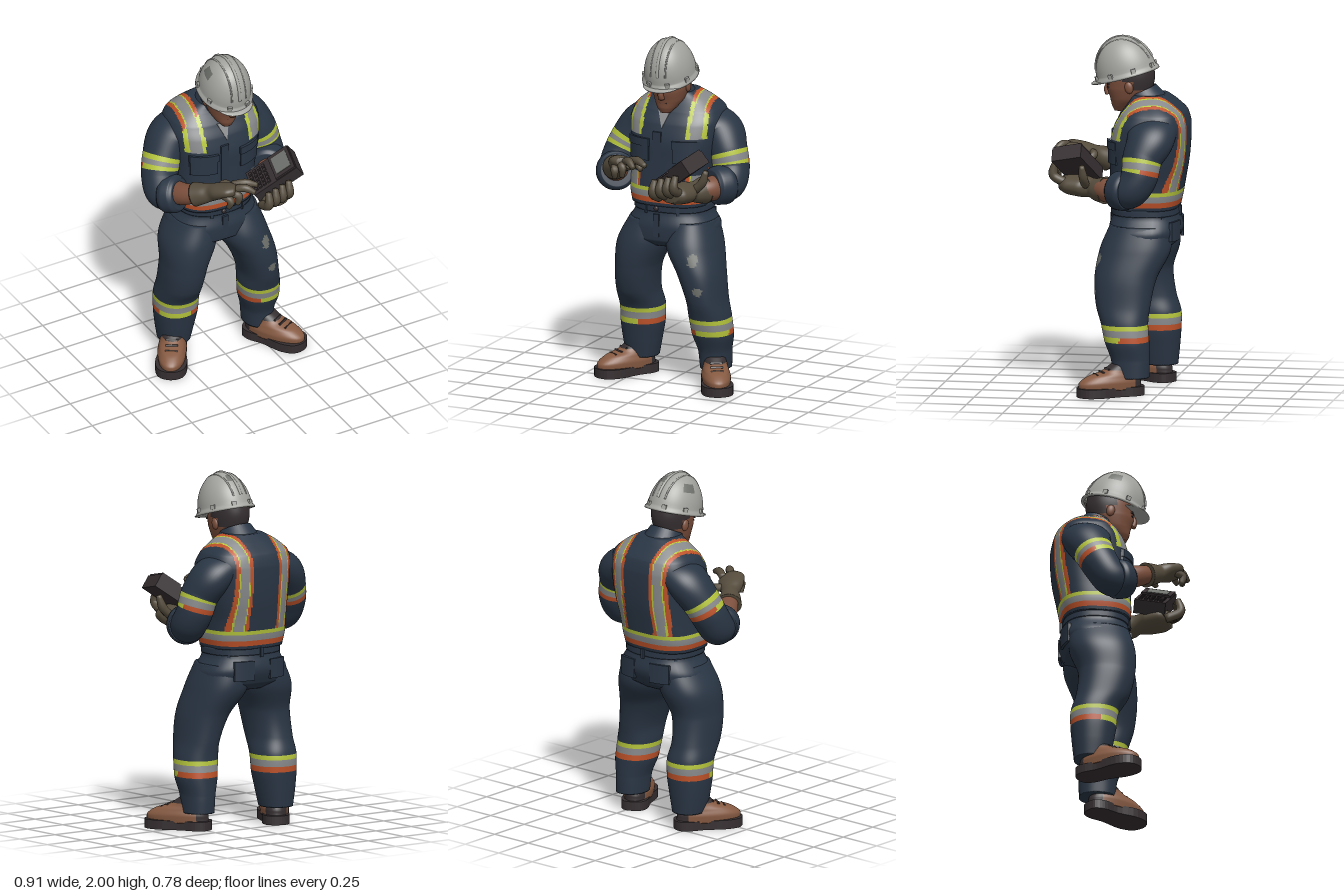
import * as THREE from 'three';

const MATS = [
  ['navyCloth', 0x2a3645], ['limeTape', 0xb6c63c], ['orangeTape', 0xbe5229], ['silverTape', 0x87898a], ['skin', 0x7d503d],
  ['bootLeather', 0x865a42], ['darkRubber', 0x362f31], ['gloveLeather', 0x554c3d], ['helmetShell', 0xa2a29e], ['wornGrey', 0x6d706b],
].map(([name, color]) => Object.assign(new THREE.MeshStandardMaterial({ color }), { name }));
const [NAVY, LIME, ORANGE, SILVER, SKIN, BOOT, DARK, GLOVE, SHELL, GREY] = MATS.keys();
MATS[NAVY].side = MATS[SHELL].side = THREE.DoubleSide;

const V3 = (x, y, z) => new THREE.Vector3(x, y, z);
const V2s = list => list.map(p => new THREE.Vector2(...p));
function place(parent, name, object, pos = [0, 0, 0], rot = [0, 0, 0], scale = [1, 1, 1]) {
  object.name = name;
  object.position.set(...pos);
  object.rotation.set(...rot);
  object.scale.set(...scale);
  parent.add(object);
  return object;
}
const add = (p, name, geo, mat, ...where) => place(p, name, new THREE.Mesh(geo, MATS[mat]), ...where);
const box = (p, name, mat, size, pos, rot) => add(p, name, new THREE.BoxGeometry(...size), mat, pos, rot);
const ball = (p, name, mat, size, pos, rot) => add(p, name, new THREE.SphereGeometry(1, 24, 16), mat, pos, rot, size);
const plate = (points, depth) => new THREE.ExtrudeGeometry(new THREE.Shape(points), { depth, bevelEnabled: false });

// Smooth skin through sections [x, y, z, radiusA, radiusB]; level keeps the rings horizontal
function loft(parent, name, keys, paint, { n = 40, seg = 40, pow = 2, level = false } = {}) {
  const path = new THREE.CatmullRomCurve3(keys.map(k => V3(k[0], k[1], k[2])));
  const radii = new THREE.CatmullRomCurve3(keys.map(k => V3(k[3], k[4] ?? k[3], 0)));
  const choose = typeof paint === 'function' ? paint : () => paint;
  const pts = [], buckets = MATS.map(() => []), U = V3(1, 0, 0.01);
  const bend = c => Math.sign(c) * Math.abs(c) ** (2 / pow);
  for (let i = 0; i <= n; i++) {
    const c = path.getPoint(i / n), r = radii.getPoint(i / n), T = path.getTangent(i / n);
    if (level) { T.set(0, Math.sign(T.y), 0); U.set(1, 0, 0); }
    U.addScaledVector(T, -U.dot(T)).normalize();
    const W = U.clone().cross(T);
    for (let j = 0; j < seg; j++) {
      const a = j / seg * Math.PI * 2;
      pts.push(c.clone().addScaledVector(U, bend(Math.cos(a)) * r.x).addScaledVector(W, bend(Math.sin(a)) * r.y));
    }
  }
  const first = pts.push(path.getPoint(0), path.getPoint(1)) - 2;
  for (let j = 0; j < seg; j++) {
    const k = (j + 1) % seg;
    for (let i = 0; i < n; i++) {
      const a = i * seg + j, b = i * seg + k, d = a + seg, e = b + seg;
      buckets[choose(pts[a].clone().lerp(pts[e], 0.5), (i + 0.5) / n)].push(a, d, e, a, e, b);
    }
    buckets[choose(pts[first], 0)].push(first, j, k);
    buckets[choose(pts[first + 1], 1)].push(first + 1, n * seg + k, n * seg + j);
  }
  const geo = new THREE.BufferGeometry().setFromPoints(pts).setIndex(buckets.flat());
  let start = 0;
  buckets.forEach((b, m) => { if (b.length) geo.addGroup(start, b.length, m); start += b.length; });
  geo.computeVertexNormals();
  place(parent, name, new THREE.Mesh(geo, MATS));
}
const finger = (p, name, a, b, c, r = 0.022) => loft(p, name, [[...a, r], [...b, r * 1.05], [...c, r * 0.65]], GLOVE, { n: 10, seg: 12 });

// Thin cloth panel wrapped onto the front (s = 1) or back (s = -1) of a body section
function panel(g, name, x, y, w, h, s, [cz, rx, rz], lift) {
  const geo = new THREE.BoxGeometry(w, h, 0.016, 10, 1, 1).translate(x, y, 0), p = geo.attributes.position;
  for (let i = 0; i < p.count; i++) p.setZ(i, p.getZ(i) + cz + s * (lift + rz * (1 - Math.abs((p.getX(i) + 0.01) / rx) ** 2.6) ** 0.385));
  geo.computeVertexNormals();
  add(g, name, geo, NAVY);
}

function buildTorso(g) {
  loft(g, 'jacket', [
    [-0.02, 1.03, -0.135, 0.225, 0.19], [-0.02, 1.1, -0.14, 0.237, 0.2], [-0.015, 1.2, -0.15, 0.24, 0.208],
    [-0.005, 1.3, -0.16, 0.25, 0.216], [0, 1.4, -0.165, 0.262, 0.22], [0, 1.5, -0.178, 0.272, 0.208],
    [0, 1.57, -0.187, 0.252, 0.18], [0, 1.63, -0.18, 0.185, 0.13], [0, 1.67, -0.165, 0.115, 0.1],
  ], p => {
    if (p.y < 1.05) return NAVY;
    if (p.y < 1.14) return p.y < 1.078 ? ORANGE : p.y < 1.112 ? SILVER : LIME;
    const front = p.z > -0.07, s = THREE.MathUtils.clamp((p.z + 0.38) / 0.36, 0, 1);
    if (front && p.y > 1.22 && p.y < 1.43) return NAVY;
    const d = Math.abs(p.x - (p.x < 0 ? -0.15 - 0.04 * s : 0.13 + 0.055 * s));
    if (front && p.y > 1.4) return d < 0.03 ? SILVER : d < 0.053 ? LIME : NAVY;
    return d < 0.024 ? SILVER : d < 0.031 ? LIME : d < 0.05 ? ORANGE : NAVY;
  }, { n: 110, seg: 160, pow: 2.7, level: true });
  loft(g, 'trouserSeat', [[-0.015, 1.05, -0.135, 0.205, 0.175], [-0.015, 0.98, -0.14, 0.22, 0.19], [-0.015, 0.9, -0.137, 0.265, 0.203],
    [-0.02, 0.83, -0.125, 0.265, 0.185], [-0.02, 0.79, -0.12, 0.17, 0.13]], NAVY, { pow: 2.4, level: true });
  loft(g, 'belt', [[-0.015, 0.995, -0.138, 0.222, 0.19], [-0.015, 1.035, -0.136, 0.222, 0.19]], NAVY, { n: 4, pow: 2.4, level: true });
  for (const a of [1.1, 2, 3.8, 4.71, 5.6]) {
    box(g, 'beltLoop', NAVY, [0.02, 0.055, 0.014], [-0.015 + 0.226 * Math.cos(a), 1.01, -0.137 + 0.194 * Math.sin(a)], [0, Math.PI / 2 - a, 0]);
  }
  box(g, 'placket', NAVY, [0.05, 0.32, 0.012], [-0.035, 1.3, 0.053]);
  box(g, 'fly', NAVY, [0.035, 0.13, 0.012], [-0.035, 0.92, 0.06]);
  ball(g, 'waistButton', DARK, [0.014, 0.014, 0.008], [-0.04, 1.015, 0.054]);
  // Chest pockets with flaps, rear patch pockets and collar points
  for (const [x, s] of [[-0.155, -1], [0.135, 1]]) {
    panel(g, 'chestPocket', x, 1.345, 0.14, 0.11, 1, [-0.163, 0.257, 0.219], 0.004);
    panel(g, 'chestPocketFlap', x, 1.395, 0.15, 0.045, 1, [-0.163, 0.26, 0.219], 0.01);
    panel(g, 'rearPocket', s * 0.115 - 0.015, 0.91, 0.12, 0.11, -1, [-0.137, 0.265, 0.203], -0.006);
    const points = V2s([[0.02, -0.03], [0.1, -0.08], [0.13, 0.06], [0.06, 0.09]].map(([u, v]) => [s * u, v]));
    add(g, 'collarPoint', plate(points, 0.014), NAVY, [0, 1.575, -0.022], [-0.55, s * 0.25, 0]);
  }
  add(g, 'collar', new THREE.CylinderGeometry(0.092, 0.13, 0.1, 40, 1, true), NAVY, [0, 1.64, -0.13], [0.42, 0, 0]);
  add(g, 'shirtFront', plate(V2s([[-0.04, 0.055], [0, -0.05], [0.035, 0.055]]), 0.008), SILVER, [-0.012, 1.522, 0.014], [-0.45, 0, 0]);
}

function buildLeg(g, name, keys, side) {
  loft(g, name, keys, p => {
    const front = p.z > (side < 0 ? -0.14 : -0.05);
    const worn = (y, x, rx, ry) => Math.hypot((p.x - x) / rx, (p.y - y) / ry) < 1;
    if (front && (worn(0.745, 0.205, 0.026, 0.038) || worn(0.575, 0.24, 0.026, 0.026))) return GREY;
    if (p.y > 0.4 || p.y < 0.305) return NAVY;
    if (p.y > 0.336) return p.y > 0.374 ? LIME : SILVER;
    return front && Math.abs(p.x) > 0.2 ? LIME : ORANGE;
  }, { n: 110, seg: 64, pow: 2.2, level: true });
}

function buildBoot(g, name, pos, turn) {
  const b = place(g, name, new THREE.Group(), pos, [0, turn, 0]);
  const half = [[0, 0.196], [0.066, 0.168], [0.09, 0.09], [0.073, -0.04], [0.075, -0.13], [0.052, -0.182], [0, -0.197]];
  const ring = [...half, ...half.slice(1, -1).reverse().map(([u, v]) => [-u, v])];
  const curve = new THREE.CatmullRomCurve3(ring.map(([u, v]) => V3(u, -v, 0)), true);
  add(b, 'sole', plate(V2s(curve.getPoints(48).map(p => [p.x, p.y])), 0.052), DARK, [0, 0, 0], [-Math.PI / 2, 0, 0]);
  loft(b, 'bootUpper', [[0, 0.04, 0, 0.077, 0.184], [0, 0.075, 0.002, 0.081, 0.182], [0, 0.112, -0.016, 0.073, 0.152],
    [0, 0.138, -0.055, 0.065, 0.108], [0, 0.18, -0.09, 0.06, 0.078]], p => (p.z < -0.125 || p.y > 0.15 ? DARK : BOOT), { level: true, pow: 2.2 });
  for (let i = 0; i < 3; i++) box(b, 'lace', DARK, [0.07, 0.01, 0.012], [0, 0.122 + i * 0.015, 0.085 - i * 0.034], [-0.5, 0, 0]);
}

function buildArm(g, name, sleeve, forearm, cuff, band) {
  loft(g, name + 'Sleeve', sleeve, (p, t) => {
    if (t < band || t > band + 0.13) return NAVY;
    if (t < band + 0.09) return t < band + 0.04 ? LIME : SILVER;
    return p.z < -0.18 ? ORANGE : LIME;
  }, { n: 90, seg: 48 });
  loft(g, name + 'RolledCuff', cuff, NAVY, { n: 16 });
  loft(g, name + 'Forearm', forearm, SKIN, { n: 16 });
}

function buildHead(g) {
  loft(g, 'neck', [[0, 1.52, -0.14, 0.085], [0, 1.62, -0.11, 0.078], [0, 1.72, -0.08, 0.075]], SKIN, { n: 10 });
  loft(g, 'head', [[0, 1.57, 0.01, 0.03, 0.03], [0, 1.6, -0.01, 0.056, 0.064], [0.003, 1.64, -0.035, 0.08, 0.097],
    [0.005, 1.7, -0.048, 0.097, 0.128], [0.005, 1.77, -0.055, 0.104, 0.135], [0.005, 1.86, -0.05, 0.1, 0.125]],
  p => (p.y > 1.7 && p.z < -0.085 || p.y > 1.745 && p.z < -0.02 ? DARK : SKIN), { n: 50, seg: 56, pow: 2.1, level: true });
  loft(g, 'nose', [[0.003, 1.725, 0.072, 0.012], [0.003, 1.69, 0.084, 0.016], [0.003, 1.66, 0.075, 0.019, 0.016]], SKIN, { n: 10, seg: 16 });
  box(g, 'mouth', DARK, [0.045, 0.005, 0.01], [0.003, 1.632, 0.053]);
  for (const s of [-1, 1]) {
    ball(g, 'ear', SKIN, [0.014, 0.034, 0.024], [0.005 + s * 0.1, 1.715, -0.06], [0.2, 0, 0]);
    box(g, 'brow', DARK, [0.045, 0.009, 0.01], [0.005 + s * 0.04, 1.728, 0.07], [0, s * 0.3, -s * 0.1]);
    box(g, 'eye', DARK, [0.028, 0.007, 0.008], [0.005 + s * 0.04, 1.707, 0.068], [0, s * 0.3, 0]);
  }
  // Hard hat, tipped forward, with ridges, scuffs and rim clips
  const h = place(g, 'hardHat', new THREE.Group(), [0.01, 1.786, -0.03], [0.27, 0, 0]), R = [0.142, 0.21, 0.172];
  const profile = [[0.99, -0.07], [1.09, -0.08], [1.09, -0.03], [1.01, 0.03]];
  for (let i = 1; i <= 20; i++) profile.push([Math.max(Math.cos(i * Math.PI / 40), 0), Math.sin(i * Math.PI / 40)]);
  add(h, 'hatShell', new THREE.LatheGeometry(V2s(profile), 56), SHELL, [0, 0, 0], [0, 0, 0], R);
  ball(h, 'hatPeak', SHELL, [0.112, 0.014, 0.095], [0, -0.012, 0.115]);
  for (const [phi, theta, w] of [[-0.55, 0.75, 0.55], [-1.95, 0.55, 0.4]]) {
    add(h, 'hatScuff', new THREE.SphereGeometry(1.008, 10, 8, phi, w, theta, 0.28), GREY, [0, 0, 0], [0, 0, 0], R);
  }
  for (const x of [-0.045, 0, 0.045]) {
    const k = Math.sqrt(1 - (x / R[0]) ** 2), arc = [];
    for (let a = 0.3; a < 2.85; a += 0.15) arc.push(V3(x, R[1] * k * Math.sin(a) - 0.003, R[2] * k * Math.cos(a)));
    add(h, 'hatRidge', new THREE.TubeGeometry(new THREE.CatmullRomCurve3(arc), 40, x ? 0.005 : 0.009, 8), SHELL);
  }
  for (let a = Math.PI / 8; a < 6.2; a += Math.PI / 4) {
    box(h, 'hatClip', SHELL, [0.026, 0.026, 0.012], [R[0] * 1.03 * Math.cos(a), 0.012, R[2] * 1.03 * Math.sin(a)], [0, Math.PI / 2 - a, 0]);
  }
}

function buildHands(g) {
  // Pointing right hand
  loft(g, 'rightGlove', [[-0.265, 1.245, 0.12, 0.07], [-0.235, 1.265, 0.16, 0.06], [-0.205, 1.283, 0.195, 0.051], [-0.175, 1.305, 0.235, 0.07, 0.046],
    [-0.135, 1.325, 0.285, 0.076, 0.04], [-0.105, 1.335, 0.315, 0.05, 0.028]], GLOVE, { n: 30 });
  finger(g, 'rightIndexFinger', [-0.1, 1.335, 0.255], [-0.04, 1.35, 0.293], [0.022, 1.333, 0.325]);
  finger(g, 'rightMiddleFinger', [-0.12, 1.335, 0.3], [-0.07, 1.355, 0.345], [-0.025, 1.33, 0.382]);
  finger(g, 'rightRingFinger', [-0.15, 1.32, 0.3], [-0.11, 1.315, 0.345], [-0.115, 1.26, 0.34]);
  finger(g, 'rightLittleFinger', [-0.18, 1.31, 0.29], [-0.16, 1.295, 0.34], [-0.165, 1.245, 0.33]);
  finger(g, 'rightThumb', [-0.16, 1.3, 0.2], [-0.1, 1.295, 0.175], [-0.065, 1.27, 0.2]);
  // Left hand cradling the device from below
  loft(g, 'leftGlove', [[0.255, 1.155, 0.045, 0.078], [0.235, 1.155, 0.09, 0.066], [0.215, 1.16, 0.125, 0.056], [0.195, 1.165, 0.18, 0.088, 0.06],
    [0.17, 1.17, 0.25, 0.095, 0.058], [0.155, 1.175, 0.3, 0.07, 0.045]], GLOVE, { n: 30 });
  for (let i = 0; i < 4; i++) {
    const x = 0.082 + i * 0.043, y = 1.145 + i * 0.012;
    finger(g, 'leftFinger', [x, y, 0.27], [x, y + 0.045, 0.35], [x + 0.005, y + 0.12, 0.338], 0.026);
  }
  finger(g, 'leftThumb', [0.25, 1.18, 0.16], [0.3, 1.23, 0.165], [0.325, 1.3, 0.17], 0.024);
  // Handheld device with keypad and screen
  const d = place(g, 'handheldDevice', new THREE.Group(), [0.193, 1.287, 0.218]);
  d.rotation.set(0.2, -0.22, 0.62, 'YXZ');
  box(d, 'deviceBody', DARK, [0.29, 0.08, 0.18], [0, 0, 0]);
  box(d, 'screenFrame', DARK, [0.13, 0.014, 0.17], [0.075, 0.045, 0]);
  box(d, 'screen', GREY, [0.095, 0.006, 0.12], [0.075, 0.052, 0]);
  for (let i = 0; i < 20; i++) box(d, 'key', DARK, [0.018, 0.012, 0.018], [-0.12 + (i % 4) * 0.029, 0.044, -0.06 + (i >> 2) * 0.03]);
}

export function createModel() {
  const g = new THREE.Group();
  g.name = 'worker';
  buildTorso(g);
  buildLeg(g, 'leftLeg', [[0.115, 0.94, -0.125, 0.12, 0.17], [0.13, 0.8, -0.1, 0.15, 0.2], [0.192, 0.65, -0.057, 0.125, 0.175], [0.23, 0.5, -0.05, 0.107, 0.153],
    [0.243, 0.4, -0.06, 0.115, 0.132], [0.252, 0.3, -0.075, 0.113, 0.125], [0.257, 0.2, -0.095, 0.09, 0.108], [0.26, 0.1, -0.1, 0.084, 0.102]], 1);
  buildLeg(g, 'rightLeg', [[-0.14, 0.94, -0.13, 0.12, 0.17], [-0.18, 0.8, -0.115, 0.15, 0.185], [-0.216, 0.65, -0.095, 0.124, 0.16], [-0.228, 0.5, -0.12, 0.117, 0.15],
    [-0.225, 0.4, -0.163, 0.124, 0.135], [-0.226, 0.3, -0.17, 0.122, 0.128], [-0.23, 0.2, -0.175, 0.108, 0.115], [-0.232, 0.1, -0.18, 0.09, 0.1]], -1);
  buildBoot(g, 'leftBoot', [0.312, 0, 0.01], 0.53);
  buildBoot(g, 'rightBoot', [-0.292, 0, -0.09], -0.58);
  buildArm(g, 'right', [[-0.17, 1.49, -0.2, 0.09, 0.15], [-0.248, 1.44, -0.205, 0.108, 0.136], [-0.308, 1.35, -0.175, 0.106, 0.116],
    [-0.347, 1.25, -0.135, 0.104], [-0.352, 1.175, -0.08, 0.1], [-0.31, 1.19, -0.01, 0.09]],
  [[-0.32, 1.19, -0.03, 0.07], [-0.29, 1.225, 0.07, 0.06], [-0.235, 1.27, 0.16, 0.047]],
  [[-0.355, 1.175, -0.07, 0.1], [-0.338, 1.18, -0.045, 0.112], [-0.312, 1.19, -0.005, 0.108], [-0.3, 1.197, 0.015, 0.088]], 0.4);
  buildArm(g, 'left', [[0.17, 1.49, -0.2, 0.09, 0.15], [0.248, 1.44, -0.205, 0.108, 0.136], [0.298, 1.35, -0.172, 0.106, 0.114],
    [0.328, 1.24, -0.155, 0.103], [0.33, 1.17, -0.105, 0.1], [0.285, 1.165, -0.03, 0.09]],
  [[0.305, 1.16, -0.05, 0.074], [0.28, 1.16, 0.03, 0.068], [0.225, 1.16, 0.11, 0.05]],
  [[0.335, 1.165, -0.1, 0.1], [0.32, 1.165, -0.075, 0.112], [0.288, 1.165, -0.03, 0.108], [0.275, 1.165, -0.01, 0.088]], 0.43);
  buildHands(g);
  buildHead(g);
  return g;
}
